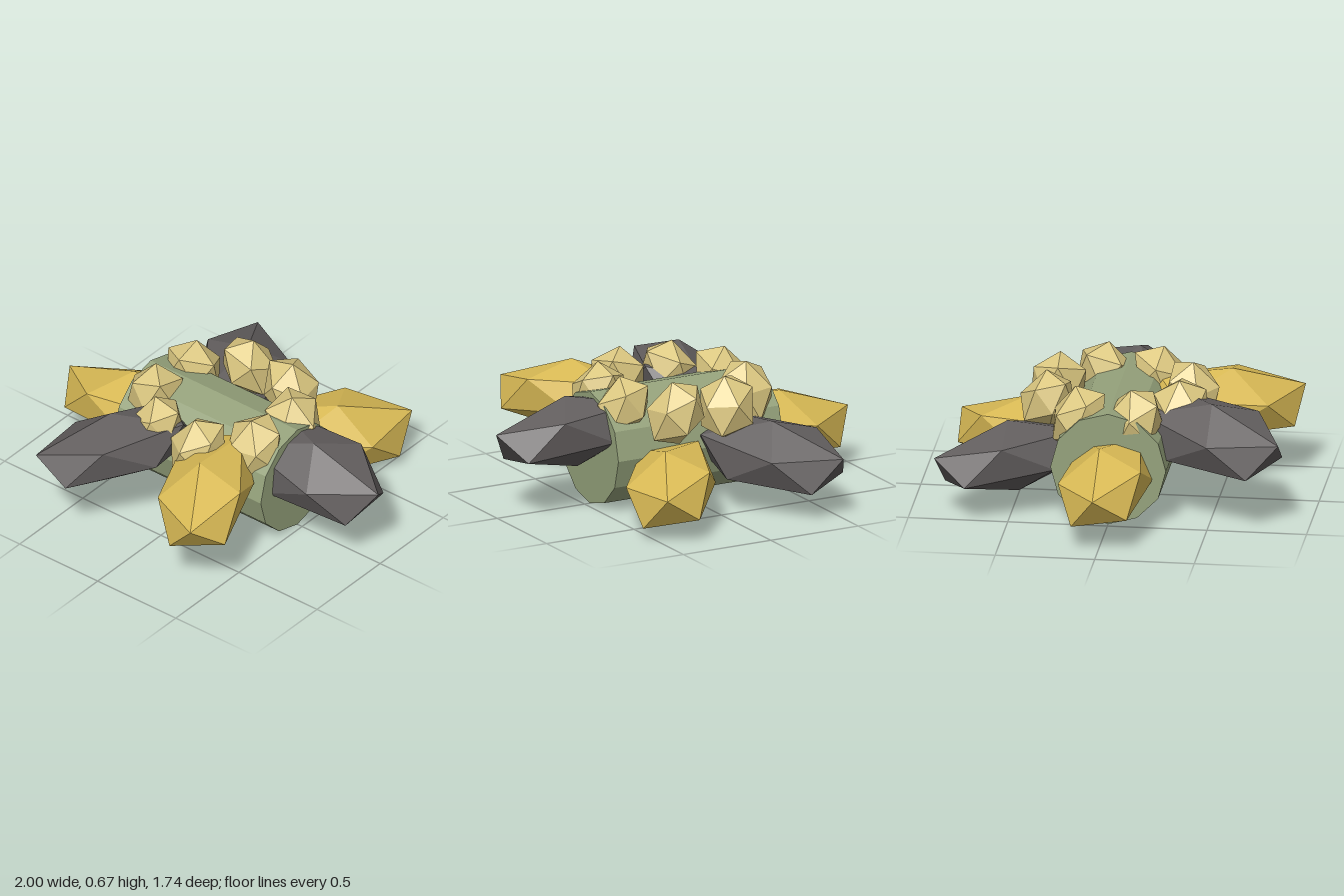
import * as THREE from 'three';
import { ConvexGeometry } from 'three/addons/geometries/ConvexGeometry.js';

const mat = (name, color) => {
  const m = new THREE.MeshStandardMaterial({ color, flatShading: true });
  m.name = name;
  return m;
};

// Stretched, slightly tilted icosahedron: six corners plus their opposites
function petalGeometry() {
  const half = [
    [0.422, 0.037, 0.013], [0.326, -0.085, -0.147], [0.31, -0.135, 0.135],
    [0.13, 0.024, 0.222], [0.144, 0.107, -0.195], [0.02, 0.178, 0.028],
  ].map((p) => new THREE.Vector3(...p));
  return new ConvexGeometry([...half, ...half.map((p) => p.clone().negate())]);
}

export function createModel() {
  const model = new THREE.Group();
  const green = mat('sage green', 0x95a27b);
  const gold = mat('gold', 0xd9ba55);
  const dark = mat('charcoal', 0x625e5e);
  const sand = mat('pale sand', 0xdcc881);

  const add = (name, geometry, material, x, y, z, turn = 0) => {
    const mesh = new THREE.Mesh(geometry, material);
    mesh.name = name;
    mesh.position.set(x, y, z);
    mesh.rotation.y = -turn;
    model.add(mesh);
  };

  // Twelve-sided log lying along x
  const log = new THREE.CylinderGeometry(0.29, 0.29, 0.94, 12);
  log.rotateZ(Math.PI / 2);
  add('body', log, green, 0, 0.29, 0);

  // Six petals around the log at uneven heights
  const petal = petalGeometry();
  [0.392, 0.408, 0.425, 0.262, 0.278, 0.2].forEach((y, i) => {
    const a = (i * Math.PI) / 3;
    add('petal', petal, i % 2 ? gold : dark, 0.577 * Math.cos(a), y, 0.577 * Math.sin(a), a);
  });

  // Ring of eight beads on top
  const bead = petalGeometry().scale(0.325, 0.9, 0.62);
  for (let i = 0; i < 8; i++) {
    const turn = (i * Math.PI) / 4;
    const a = turn - 0.32;
    add('bead', bead, sand, 0.368 * Math.cos(a), 0.51, 0.368 * Math.sin(a), turn);
  }
  return model;
}
